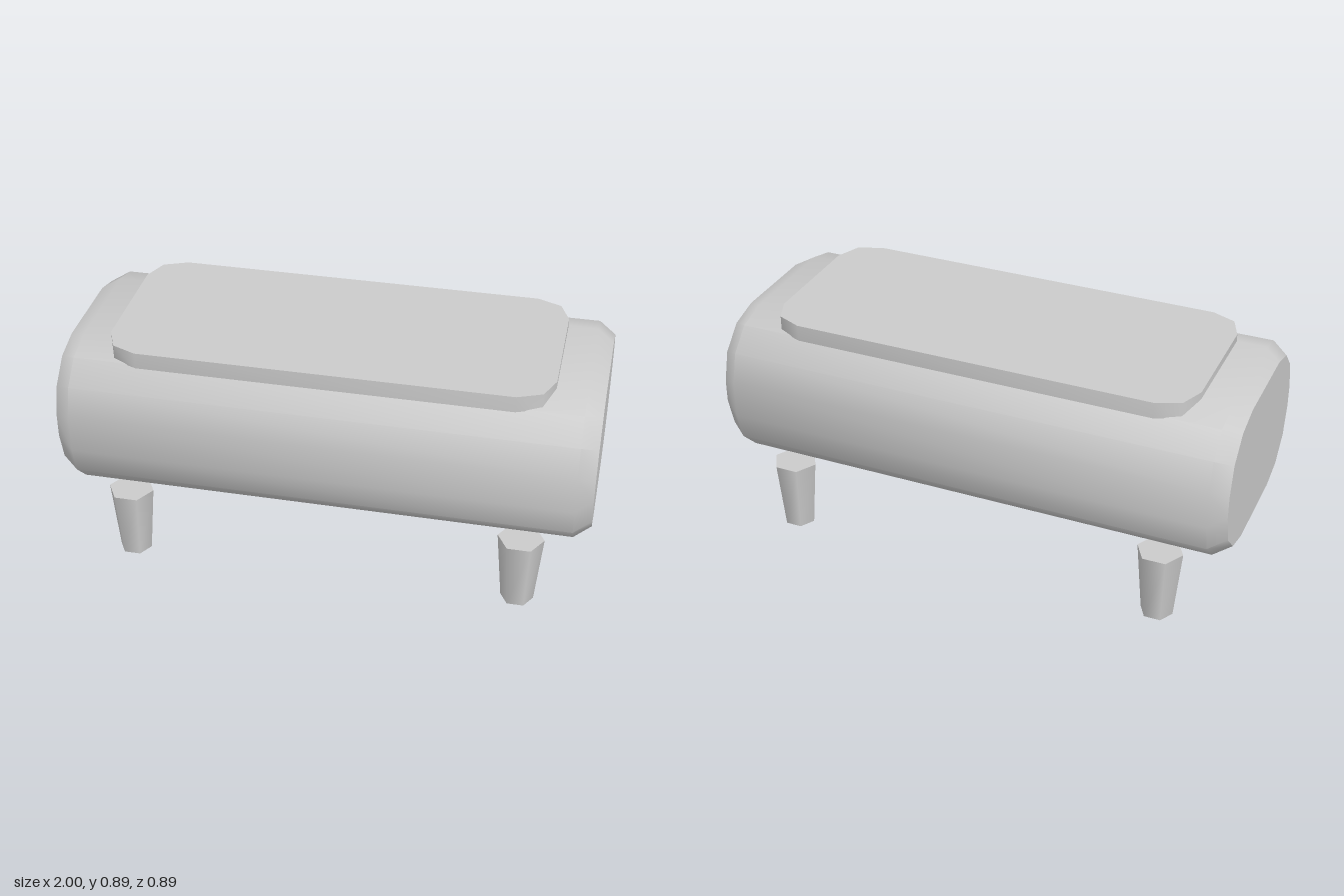
import * as THREE from 'three';
import { toCreasedNormals } from 'three/addons/utils/BufferGeometryUtils.js';

const CREASE = 0.8;

// Counter-clockwise rounded rectangle with half sizes w, h
function roundedRect(w, h, r, segments) {
  const points = [];
  [[1, 1], [-1, 1], [-1, -1], [1, -1]].forEach(([sx, sy], corner) => {
    for (let i = 0; i <= segments; i++) {
      const a = (corner + i / segments) * Math.PI / 2;
      points.push(new THREE.Vector2(sx * (w - r) + r * Math.cos(a), sy * (h - r) + r * Math.sin(a)));
    }
  });
  return points;
}

// Long body lofted along x, with chamfered ends
function bodyGeometry() {
  const full = roundedRect(0.445, 0.296, 0.223, 3);
  const end = roundedRect(0.403, 0.27, 0.227, 3);
  const rings = [[-1, end], [-0.937, full], [0.937, full], [1, end]];
  const n = full.length;
  const positions = [];
  const index = [];
  for (const [x, section] of rings) {
    for (const p of section) positions.push(x, p.y, -p.x);
  }
  for (let k = 0; k < rings.length - 1; k++) {
    for (let j = 0; j < n; j++) {
      const a = k * n + j;
      const b = k * n + (j + 1) % n;
      index.push(a, b, b + n, a, b + n, a + n);
    }
  }
  // Flat end caps
  const last = (rings.length - 1) * n;
  for (let j = 1; j < n - 1; j++) {
    index.push(0, j + 1, j, last, last + j, last + j + 1);
  }
  const geometry = new THREE.BufferGeometry();
  geometry.setAttribute('position', new THREE.Float32BufferAttribute(positions, 3));
  geometry.setIndex(index);
  return toCreasedNormals(geometry, CREASE);
}

// Thin rounded slab lying flat
function topPadGeometry() {
  const shape = new THREE.Shape(roundedRect(0.825, 0.351, 0.13, 2));
  const geometry = new THREE.ExtrudeGeometry(shape, { depth: 0.063, bevelEnabled: false });
  geometry.rotateX(-Math.PI / 2);
  return toCreasedNormals(geometry, CREASE);
}

export function createModel() {
  const group = new THREE.Group();
  const material = new THREE.MeshStandardMaterial({ color: 0xcccccc });
  const add = (name, geometry, x, y, z) => {
    const mesh = new THREE.Mesh(geometry, material);
    mesh.name = name;
    mesh.position.set(x, y, z);
    group.add(mesh);
  };

  add('body', bodyGeometry(), 0, 0.564, 0);
  add('topPad', topPadGeometry(), 0, 0.826, 0);

  // Four tapered six-sided legs
  const legHeight = 0.277;
  const leg = new THREE.CylinderGeometry(0.087, 0.062, legHeight, 6, 1, false, Math.PI / 2);
  for (const [side, x] of [['Left', 0.75], ['Right', -0.75]]) {
    for (const [end, z] of [['front', 0.35], ['back', -0.35]]) {
      add(`${end}${side}Leg`, leg, x, legHeight / 2, z);
    }
  }
  return group;
}
